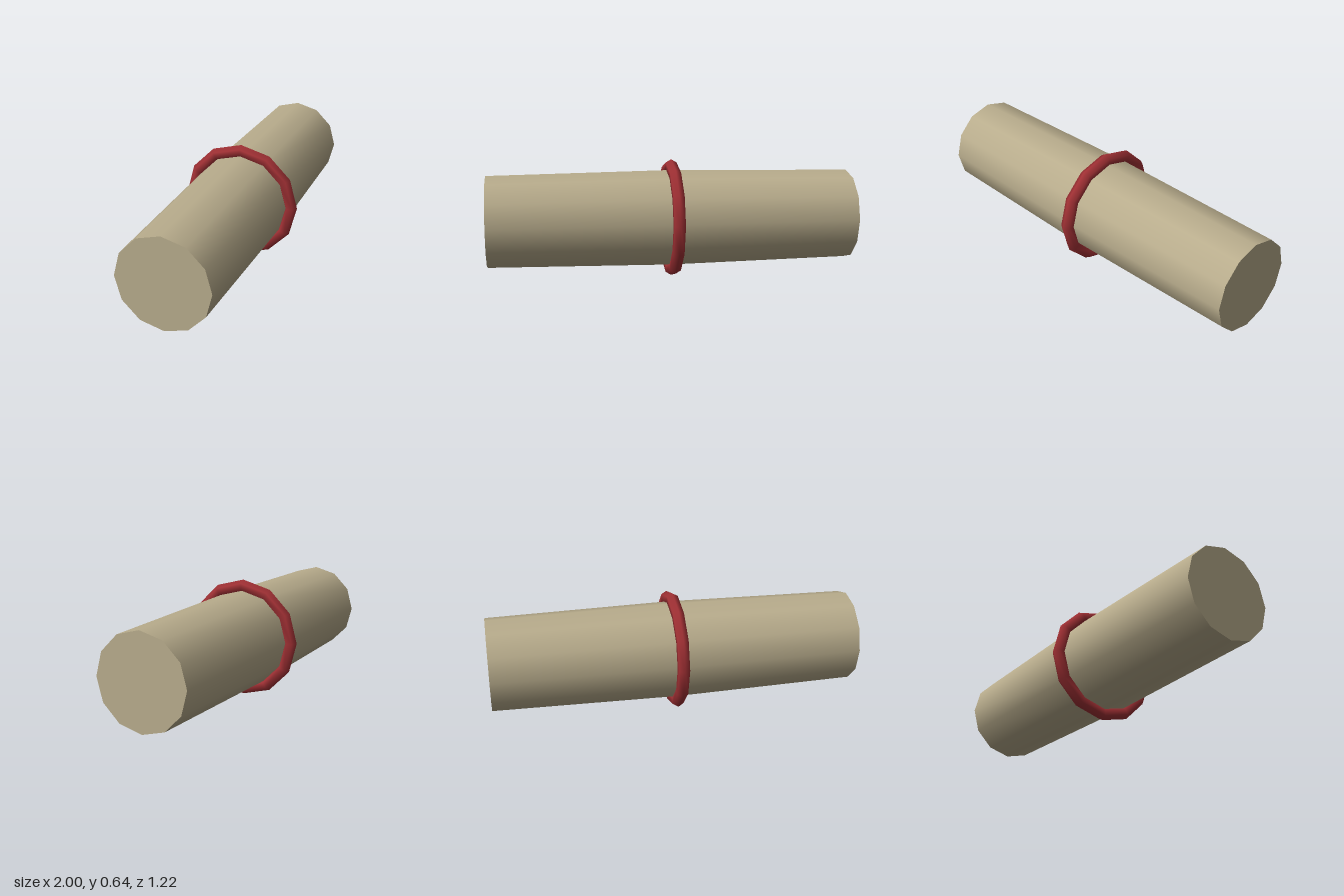
import * as THREE from 'three';

const CENTRE_Y = 0.318;
const END_RADIUS = 0.245;
const MID_RADIUS = 0.26;
const LENGTH = 1.966;

export function createModel() {
  const model = new THREE.Group();
  model.name = 'rolledScroll';

  // Twelve-sided roll, slightly fuller at its middle
  const rollGeometry = new THREE.CylinderGeometry(END_RADIUS, END_RADIUS, LENGTH, 12, 2);
  const p = rollGeometry.attributes.position;
  for (let i = 0; i < p.count; i++) {
    if (Math.abs(p.getY(i)) < 0.01) {
      const s = MID_RADIUS / END_RADIUS;
      p.setXYZ(i, p.getX(i) * s, 0, p.getZ(i) * s);
    }
  }
  rollGeometry.rotateZ(Math.PI / 2);
  const roll = new THREE.Mesh(rollGeometry, new THREE.MeshStandardMaterial({ color: 0xb8ac8c }));
  roll.name = 'paperRoll';

  // Ribbon ring tied around the middle
  const ringGeometry = new THREE.TorusGeometry(0.284, 0.034, 6, 12);
  ringGeometry.rotateY(Math.PI / 2);
  const ring = new THREE.Mesh(ringGeometry, new THREE.MeshStandardMaterial({ color: 0xa03034 }));
  ring.name = 'tieRing';

  // The whole scroll lies at an angle
  const scroll = new THREE.Group();
  scroll.name = 'scroll';
  scroll.add(roll, ring);
  scroll.position.y = CENTRE_Y;
  scroll.rotation.y = THREE.MathUtils.degToRad(23);
  model.add(scroll);
  return model;
}
